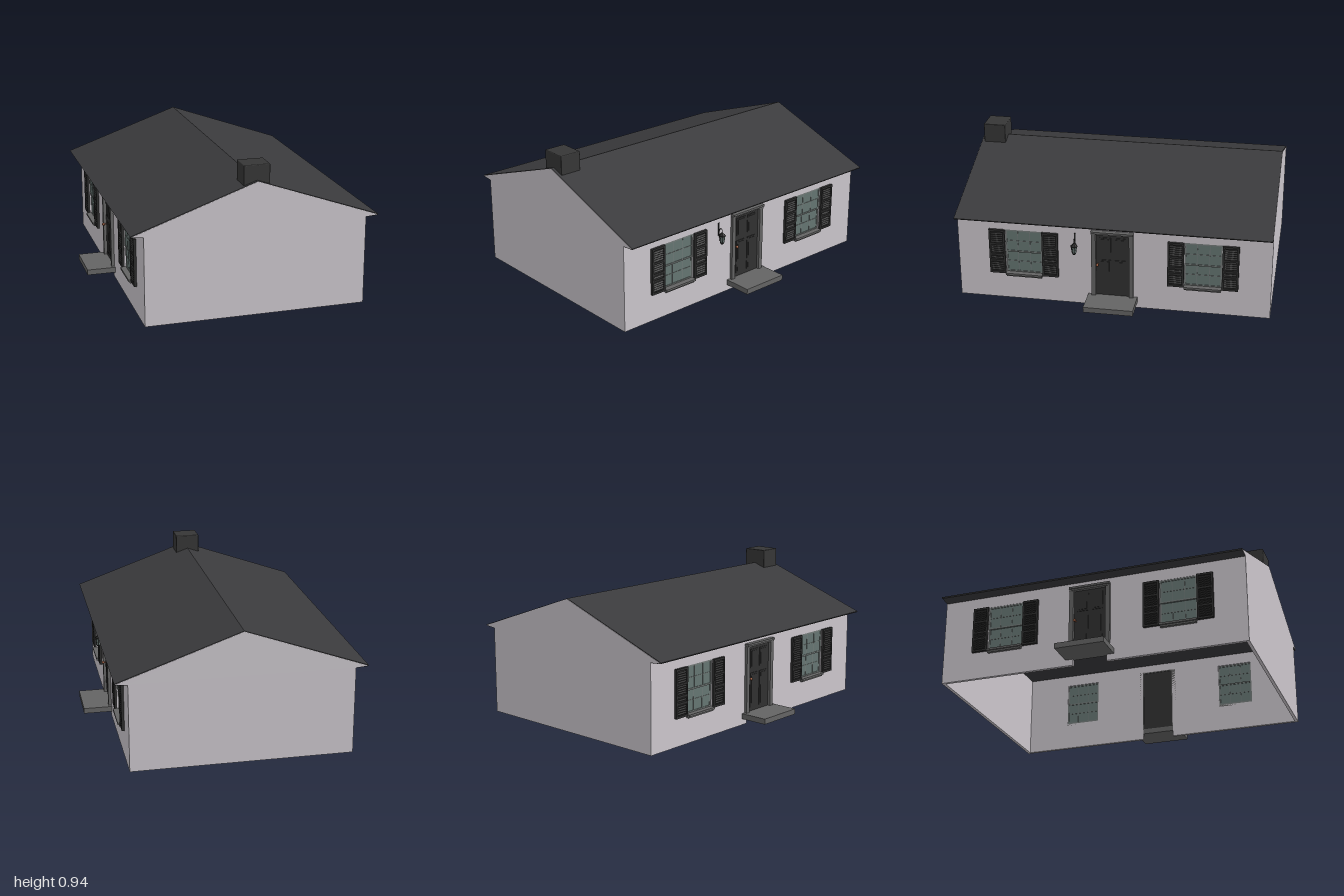
import * as THREE from 'three';
import { RoundedBoxGeometry } from 'three/addons/geometries/RoundedBoxGeometry.js';

const paint = (color) => new THREE.MeshStandardMaterial({ color });
const MAT = {
  wall: paint(0xcbc6cc), roof: paint(0x3a3a3c), chimney: paint(0x363636),
  trim: paint(0x646464), door: paint(0x303030), shutter: paint(0x2c2c2c),
  sash: paint(0x737a78), glass: paint(0x657572), iron: paint(0x242424), knob: paint(0x9a5a3c),
};

function add(parent, name, geometry, material) {
  const mesh = new THREE.Mesh(geometry, material);
  mesh.name = name;
  parent.add(mesh);
  return mesh;
}

// Box given by its limits on each axis
function box(parent, name, mat, x0, x1, y0, y1, z0, z1) {
  const mesh = add(parent, name, new THREE.BoxGeometry(x1 - x0, y1 - y0, z1 - z0), mat);
  mesh.position.set((x0 + x1) / 2, (y0 + y1) / 2, (z0 + z1) / 2);
  return mesh;
}

function group(parent, name) {
  const g = new THREE.Group();
  g.name = name;
  parent.add(g);
  return g;
}

const polygon = (pts) => new THREE.Shape(pts.map(([x, y]) => new THREE.Vector2(x, y)));
const extrude = (shape, depth) => new THREE.ExtrudeGeometry(shape, { depth, bevelEnabled: false });

const WALL = 0.7, T = 0.02, WIN_Z = 0.572, WIN_HALF = 0.118, WIN_Y0 = 0.185, WIN_Y1 = 0.485;

// Long wall with window holes and a door gap that reaches the ground
function sideWall(parent) {
  const shape = polygon([
    [-0.98, 0], [-0.11, 0], [-0.11, 0.51], [0.11, 0.51], [0.11, 0], [0.98, 0], [0.98, 0.565], [-0.98, 0.565],
  ]);
  for (const z of [-WIN_Z, WIN_Z]) {
    shape.holes.push(polygon([
      [z - WIN_HALF, WIN_Y0], [z - WIN_HALF, WIN_Y1], [z + WIN_HALF, WIN_Y1], [z + WIN_HALF, WIN_Y0],
    ]));
  }
  const wall = add(parent, 'sideWall', extrude(shape, T).rotateY(-Math.PI / 2), MAT.wall);
  wall.position.x = WALL;
}

// Louvred shutter between z0 and z1
function shutter(parent, z0, z1) {
  const g = group(parent, 'shutter');
  const y0 = 0.18, y1 = 0.485;
  box(g, 'shutterBack', MAT.shutter, WALL - 0.002, WALL + 0.007, y0, y1, z0, z1);
  for (const z of [z0, z1 - 0.012]) box(g, 'stile', MAT.shutter, WALL, WALL + 0.017, y0, y1, z, z + 0.012);
  for (const y of [y0, 0.262, 0.305, 0.38, y1 - 0.014]) {
    box(g, 'rail', MAT.shutter, WALL, WALL + 0.017, y, y + 0.014, z0, z1);
  }
  for (let y = y0 + 0.024; y < y1 - 0.02; y += 0.014) {
    const slat = box(g, 'louvre', MAT.shutter, WALL + 0.004, WALL + 0.016, y - 0.0015, y + 0.0015, z0 + 0.01, z1 - 0.01);
    slat.rotation.z = -0.7;
  }
}

// Two sashes, each with three by two panes, a sill and a pair of shutters
function windowUnit(parent, z) {
  const g = group(parent, 'window');
  const a = z - WIN_HALF, b = z + WIN_HALF, mid = 0.335, f = 0.01;
  for (const [y0, y1, x] of [[mid - 0.006, WIN_Y1, 0.692], [WIN_Y0, mid + 0.006, 0.686]]) {
    const sash = group(g, 'sash');
    box(sash, 'glass', MAT.glass, x - 0.002, x + 0.002, y0, y1, a, b);
    for (const y of [y0, y1 - f]) box(sash, 'sashRail', MAT.sash, x - 0.006, x + 0.006, y, y + f, a, b);
    for (const s of [a, b - f]) box(sash, 'sashStile', MAT.sash, x - 0.0055, x + 0.0055, y0, y1, s, s + f);
    for (const i of [1, 2]) {
      const c = a + (b - a) * i / 3;
      box(sash, 'muntin', MAT.sash, x - 0.004, x + 0.004, y0, y1, c - 0.002, c + 0.002);
    }
    const m = (y0 + y1) / 2;
    box(sash, 'muntin', MAT.sash, x - 0.0045, x + 0.0045, m - 0.002, m + 0.002, a, b);
  }
  box(g, 'sill', MAT.trim, 0.68, 0.728, 0.174, 0.187, a, b);
  box(g, 'sillApron', MAT.trim, 0.69, 0.718, 0.163, 0.174, a + 0.004, b - 0.004);
  shutter(g, a - 0.105, a - 0.002);
  shutter(g, b + 0.002, b + 0.105);
}

function doorway(parent) {
  const g = group(parent, 'doorway');
  box(g, 'door', MAT.door, 0.684, 0.7, 0.06, 0.505, -0.108, 0.108);
  // Raised panels
  for (const [y0, y1] of [[0.1, 0.325], [0.36, 0.48]]) {
    for (const s of [-1, 1]) {
      for (const [x0, x1, inset] of [[0.698, 0.704, 0], [0.7, 0.707, 0.01]]) {
        const z = s * 0.047, h = 0.036 - inset;
        box(g, 'doorPanel', MAT.door, x0, x1, y0 + inset, y1 - inset, z - h, z + h);
      }
    }
  }
  // Casing
  for (const s of [-1, 1]) {
    box(g, 'doorPost', MAT.trim, 0.68, 0.719, 0.073, 0.508, s * 0.12 - 0.014, s * 0.12 + 0.014);
  }
  box(g, 'doorHead', MAT.trim, 0.68, 0.722, 0.503, 0.516, -0.132, 0.132);
  box(g, 'doorHeadCap', MAT.trim, 0.695, 0.73, 0.513, 0.526, -0.134, 0.134);
  box(g, 'step', MAT.trim, 0.68, 0.885, 0.04, 0.075, -0.158, 0.158);
  // Knob
  const stem = add(g, 'knobStem', new THREE.CylinderGeometry(0.004, 0.004, 0.025, 10), MAT.knob);
  stem.rotation.z = Math.PI / 2;
  stem.position.set(0.71, 0.294, 0.095);
  const knob = add(g, 'knob', new THREE.SphereGeometry(0.009, 14, 10), MAT.knob);
  knob.position.set(0.722, 0.294, 0.095);
}

// Hanging wall lantern with a tapered six-sided body
function lantern(parent) {
  const g = group(parent, 'lantern');
  g.position.set(0.734, 0, 0.24);
  box(g, 'bracketPlate', MAT.iron, -0.036, -0.03, 0.41, 0.495, -0.005, 0.005);
  const hook = new THREE.CatmullRomCurve3([
    [-0.032, 0.425], [-0.022, 0.455], [-0.008, 0.464], [0, 0.455], [0, 0.44],
  ].map(([x, y]) => new THREE.Vector3(x, y, 0)));
  add(g, 'hook', new THREE.TubeGeometry(hook, 16, 0.0025, 6), MAT.iron);
  const ring = (name, rTop, rBottom, y0, y1, mat) => {
    const m = add(g, name, new THREE.CylinderGeometry(rTop, rBottom, y1 - y0, 6).toNonIndexed(), mat);
    m.geometry.computeVertexNormals();
    m.position.y = (y0 + y1) / 2;
  };
  ring('lanternCap', 0.003, 0.023, 0.422, 0.442, MAT.iron);
  ring('lanternRim', 0.024, 0.022, 0.416, 0.422, MAT.iron);
  ring('lanternGlass', 0.019, 0.012, 0.372, 0.416, MAT.glass);
  ring('lanternBase', 0.014, 0.01, 0.364, 0.373, MAT.iron);
  for (let i = 0; i < 6; i++) {
    const a = i * Math.PI / 3;
    const at = (r, y) => new THREE.Vector3(Math.sin(a) * r, y, Math.cos(a) * r);
    add(g, 'lanternBar', new THREE.TubeGeometry(new THREE.LineCurve3(at(0.012, 0.372), at(0.019, 0.417)), 1, 0.0018, 5), MAT.iron);
  }
}

export function createModel() {
  const house = new THREE.Group();
  house.name = 'house';

  // Roof with soffits and ceiling
  const roof = add(house, 'roof', extrude(polygon([
    [-0.7, 0.562], [0.7, 0.562], [0.775, 0.567], [0.78, 0.575], [0, 0.85], [-0.78, 0.575], [-0.775, 0.567],
  ]), 1.996), MAT.roof);
  roof.position.z = -0.998;

  // Gable walls, reaching out to the eave tips
  for (const z of [-1, 1 - T]) {
    const gable = add(house, 'gableWall', extrude(polygon([
      [-WALL, 0], [WALL, 0], [WALL, 0.564], [0.775, 0.572], [0, 0.847], [-0.775, 0.572], [-WALL, 0.564],
    ]), T), MAT.wall);
    gable.position.z = z;
  }

  const chimney = add(house, 'chimney', new RoundedBoxGeometry(0.165, 0.165, 0.145, 2, 0.005), MAT.chimney);
  chimney.position.set(0, 0.8625, 0.908);

  // The two long sides are the same, turned half round
  for (const [name, angle] of [['leftSide', 0], ['rightSide', Math.PI]]) {
    const side = group(house, name);
    sideWall(side);
    doorway(side);
    windowUnit(side, -WIN_Z);
    windowUnit(side, WIN_Z);
    if (angle === 0) lantern(side);
    side.rotation.y = angle;
  }
  return house;
}
